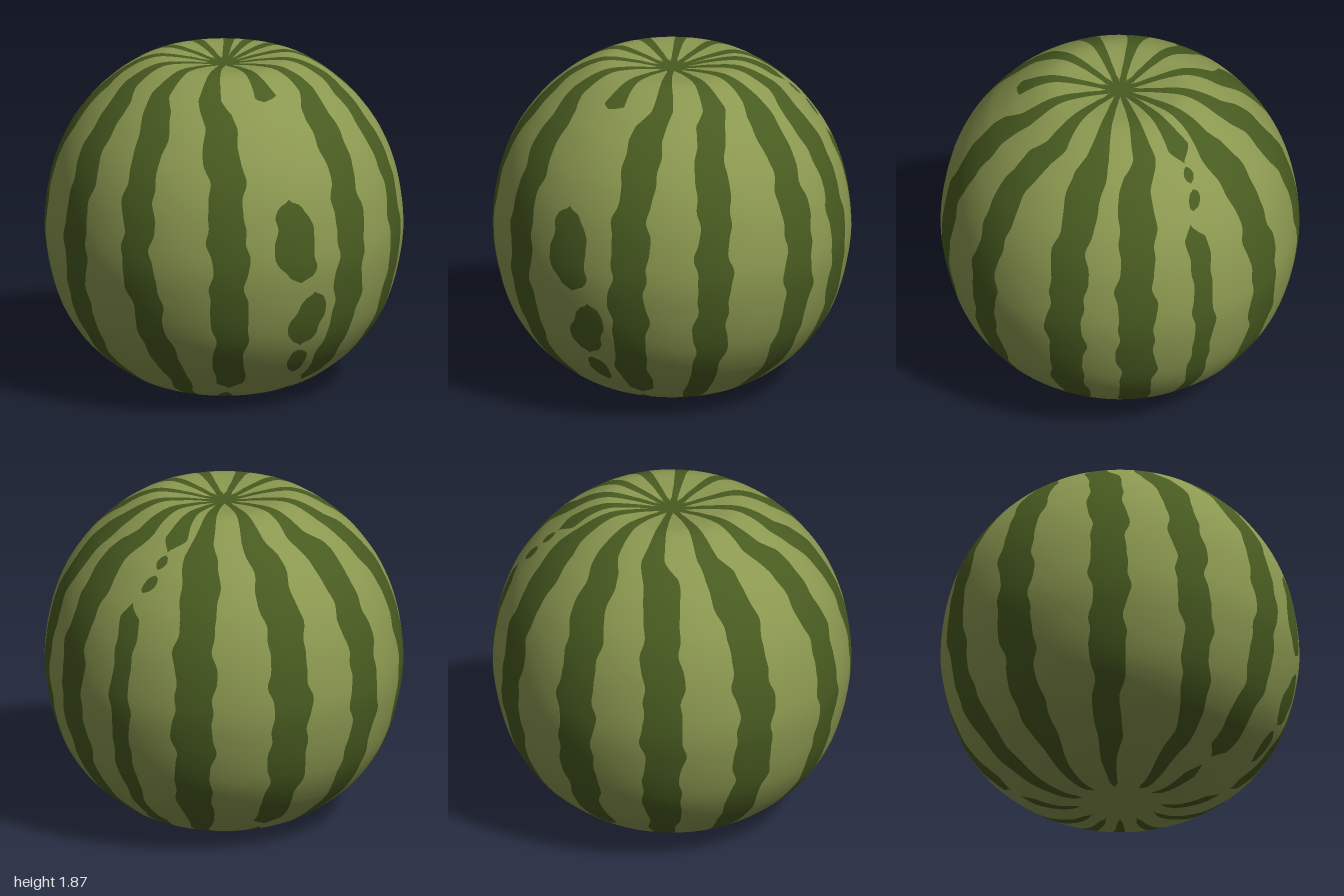
import * as THREE from 'three';

const rindMaterial = new THREE.MeshStandardMaterial({ color: 0x8b9850 });
rindMaterial.name = 'light green rind';
const stripeMaterial = new THREE.MeshStandardMaterial({ color: 0x485b20 });
stripeMaterial.name = 'dark green stripe';

const RIM_TOP = 0.35, RIM_BOTTOM = 0.28, ROWS = 190;
const { lerp, smoothstep, degToRad } = THREE.MathUtils;

// Half profile (radius, height): full shoulders, dimpled at both poles
const profile = new THREE.SplineCurve([
  [0, 0.035], [0.14, 0.02], [0.28, 0], [0.4, 0.02], [0.55, 0.085], [0.7, 0.195], [0.81, 0.31], [0.91, 0.48],
  [0.975, 0.7], [1, 0.93], [0.965, 1.2], [0.885, 1.42], [0.765, 1.6], [0.65, 1.715], [0.55, 1.79],
  [0.45, 1.845], [0.35, 1.87], [0.2, 1.86], [0.1, 1.845], [0, 1.84],
].map(([r, y]) => new THREE.Vector2(r, y)));

// Each row has its position, normal and a running level h: the height on the
// body, continued by the distance inside the rim at either end
const rows = Array.from({ length: ROWS + 1 }, (_, i) => {
  const p = profile.getPointAt(i / ROWS), t = profile.getTangentAt(i / ROWS);
  const r = Math.min(1, Math.max(0, p.x));
  let h = p.y;
  if (r < RIM_TOP && p.y > 1) h = 1.87 + RIM_TOP - r;
  if (r < RIM_BOTTOM && p.y < 1) h = r - RIM_BOTTOM;
  return { r, y: p.y, h, nr: t.y, ny: -t.x };
});

// Stripes are lists of [level, angle, half width] keys, in degrees from the front.
// Top: narrow rays that run to the pole
const ray = (top) => [[1.78, top, 6.5], [1.87, top, 5], [2, top, 5.5], [2.3, top, 13]];

// Body: from the ragged lower end to the swollen shoulder; some break off low down
const band = (low, mid, top, half, broken) => [
  [-0.06, low - 3, 0], [-0.02, low - 2, 4], [0.05, low - 2, 5],
  [0.09, low - 1, broken ? 0 : 5.5], [0.13, low, broken ? 0 : 6], [0.17, low, half],
  [0.6, lerp(low, mid, 0.6), half], [1, mid, half], [1.4, lerp(mid, top, 0.1), half + 0.3],
  [1.66, lerp(mid, top, 0.3), half + 1.5], [1.72, lerp(mid, top, 0.5), half + 2],
];

// Rounded spot leaning from one angle to another
const spot = (low, high, from, to, half) => [0, 0.06, 0.2, 0.5, 0.8, 0.94, 1].map((t) =>
  [lerp(low, high, t), lerp(from, to, t), half * Math.sqrt(4 * t * (1 - t))]);

// Low, middle and top angle and half width of the whole stripes
const whole = [
  [20, 21, 30, 6], [48, 49, 60, 5.5], [80, 81, 87, 6], [105, 104, 112, 6], [151, 153, 151, 6.5],
  [184, 185, 179, 6.5], [214, 215, 208, 6.5], [244, 246, 238, 6.5], [277, 279, 268, 6], [314, 306, 297, 5.5],
  [338, 337, 327, 6],
].map(([low, mid, top, half], i) => [...band(low, mid, top, half, i % 5 === 0), ...ray(top)]);

// Front stripe broken into three spots, and a thin one that frays at the shoulder
const spotted = [
  ...spot(0.23, 0.39, 7, 4, 4.5), ...spot(0.43, 0.745, 4, 7, 6.5), ...spot(0.82, 1.285, 1, -2, 7.5),
  [1.765, -2, 0], ...ray(0),
];
const frayed = [
  ...band(126, 127, 127, 3.5, false).slice(0, -2), [1.47, 126, 0],
  ...spot(1.53, 1.62, 129, 132, 3), ...spot(1.65, 1.71, 132, 133, 2.5), [1.73, 133, 0], ...ray(134),
];
const stripes = [spotted, ...whole.slice(0, 4), frayed, ...whole.slice(4)];

function sample(keys, h) {
  if (h <= keys[0][0]) return [keys[0][1], 0];
  const i = keys.findIndex((k) => k[0] >= h);
  const [h0, a0, w0] = keys[i - 1], [h1, a1, w1] = keys[i];
  const t = (h - h0) / (h1 - h0);
  return [lerp(a0, a1, t), lerp(w0, w1, t)];
}

// Irregular wobble of a stripe edge
const wobble = (h, seed) =>
  0.7 * Math.sin(h * 15 + seed * 2.4) + 0.5 * Math.sin(h * 27 + seed * 5.1) + 0.2 * Math.sin(h * 48 + seed * 3.7);

// Left and right edge angles of every stripe on every row; they merge at the top
const edges = rows.map(({ r, h }) => {
  const raw = stripes.map((keys, i) => {
    const [a, w] = sample(keys, h);
    const n = Math.min(1, w / 5) * (1 - 0.8 * smoothstep(h, 1.75, 1.9));
    return [a - Math.max(0, w + n * wobble(h, i)), a + Math.max(0, w + n * wobble(h, i + 40))];
  });
  const merge = h > 1.87 ? 1 - smoothstep(r, 0.07, 0.12) : 0;
  const count = raw.length;
  return raw.map(([left, right], i) => {
    const before = raw[(i + count - 1) % count][1] - (i === 0 ? 360 : 0);
    const after = raw[(i + 1) % count][0] + (i === count - 1 ? 360 : 0);
    return [lerp(left, (left + before) / 2, merge), lerp(right, (right + after) / 2, merge)];
  });
});

// Strip of skin from bottom to top between two edge angles per row
function skinStrip(span, columns, material, name) {
  const position = [], normal = [], index = [];
  rows.forEach(({ r, y, nr, ny }, j) => {
    const [from, to] = span(edges[j]);
    for (let c = 0; c <= columns; c++) {
      const a = degToRad(lerp(from, to, c / columns));
      position.push(r * Math.sin(a), y, r * Math.cos(a));
      normal.push(nr * Math.sin(a), ny, nr * Math.cos(a));
      if (j < ROWS && c < columns) {
        const p = j * (columns + 1) + c, q = p + columns + 1;
        index.push(p, p + 1, q + 1, p, q + 1, q);
      }
    }
  });
  const geometry = new THREE.BufferGeometry();
  geometry.setAttribute('position', new THREE.Float32BufferAttribute(position, 3));
  geometry.setAttribute('normal', new THREE.Float32BufferAttribute(normal, 3));
  geometry.setIndex(index);
  const mesh = new THREE.Mesh(geometry, material);
  mesh.name = name;
  return mesh;
}

export function createModel() {
  const melon = new THREE.Group();
  melon.name = 'watermelon';
  const last = stripes.length - 1;
  stripes.forEach((_, i) => {
    melon.add(skinStrip((e) => e[i], 4, stripeMaterial, `stripe${i + 1}`));
    const gap = (e) => [e[i][1], i === last ? e[0][0] + 360 : e[i + 1][0]];
    melon.add(skinStrip(gap, 7, rindMaterial, `rind${i + 1}`));
  });
  return melon;
}
